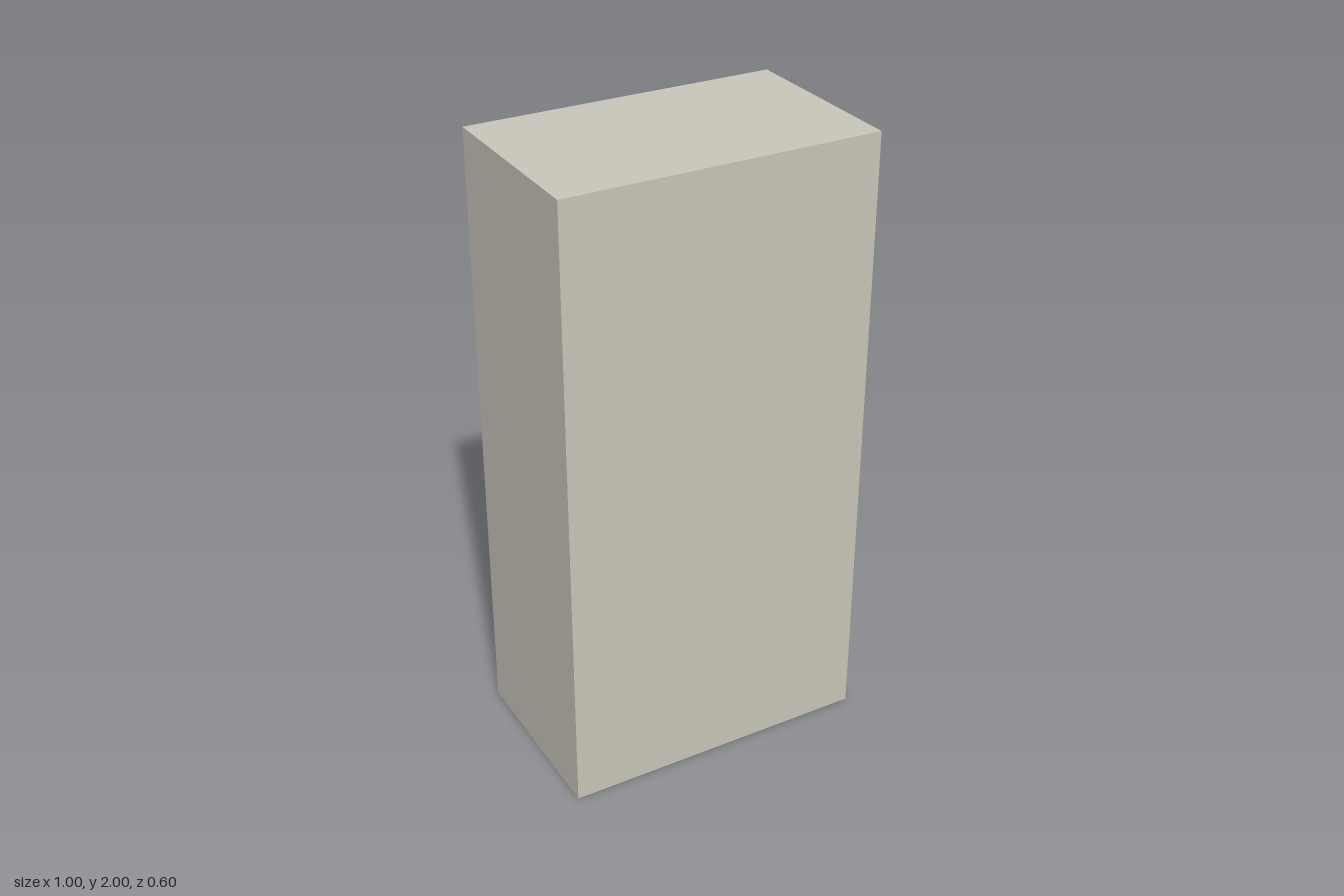
import * as THREE from 'three';

// Tall cabinet: closed panel at +z, doors and open compartment at -z
export function createModel() {
  const group = new THREE.Group();
  const paint = new THREE.MeshStandardMaterial({ color: 0xc9c6ba });
  paint.name = 'warmGrey';

  const W = 1, H = 2, D = 0.6, T = 0.033; // outer size and panel thickness
  const inner = W - 2 * T;
  const back = -D / 2;
  const shelfY = 1.0;

  function add(name, geometry, x, y, z) {
    const mesh = new THREE.Mesh(geometry, paint);
    mesh.name = name;
    mesh.position.set(x, y, z);
    group.add(mesh);
    return mesh;
  }
  const box = (name, w, h, d, x, y, z) => add(name, new THREE.BoxGeometry(w, h, d), x, y, z);

  // Carcass
  box('topPanel', W, T, D, 0, H - T / 2, 0);
  box('bottomPanel', W, T, D, 0, T / 2, 0);
  box('closedPanel', inner, H - 2 * T, T, 0, H / 2, D / 2 - T / 2);
  for (const s of [-1, 1]) {
    box('sidePanel', T, H - 2 * T, D, s * (W - T) / 2, H / 2, 0);
  }

  // Middle shelf, slightly thicker towards the closed panel
  const profile = new THREE.Shape([
    [back - 0.002, shelfY - 0.013], [D / 2 - T, shelfY - 0.04],
    [D / 2 - T, shelfY + 0.005], [back - 0.002, shelfY + 0.005],
  ].map(([z, y]) => new THREE.Vector2(-z, y)));
  const shelfWidth = inner + 0.02;
  const shelf = new THREE.ExtrudeGeometry(profile, { depth: shelfWidth, bevelEnabled: false });
  shelf.rotateY(Math.PI / 2);
  add('shelf', shelf, -shelfWidth / 2, 0, 0);

  // Small shelf fixing on the outer side
  box('shelfFixing', 0.004, 0.01, 0.048, W / 2, 0.992, 0.275);

  // Upper doors, centre strip and handles, set back inside the frame
  const doorZ = back + 0.025, doorT = 0.025, gap = 0.045;
  const low = shelfY + 0.005, high = H - T;
  const doorH = high - low, midY = (high + low) / 2;
  box('centreStrip', gap, doorH, 0.015, 0, midY, doorZ + 0.0145);
  for (const s of [-1, 1]) {
    const doorW = (inner - gap) / 2;
    box('door', doorW, doorH, doorT, s * (gap + doorW) / 2, midY, doorZ + doorT / 2);
    box('handle', 0.215, 0.046, 0.02, s * 0.245, 1.475, doorZ - 0.01);
  }
  return group;
}
